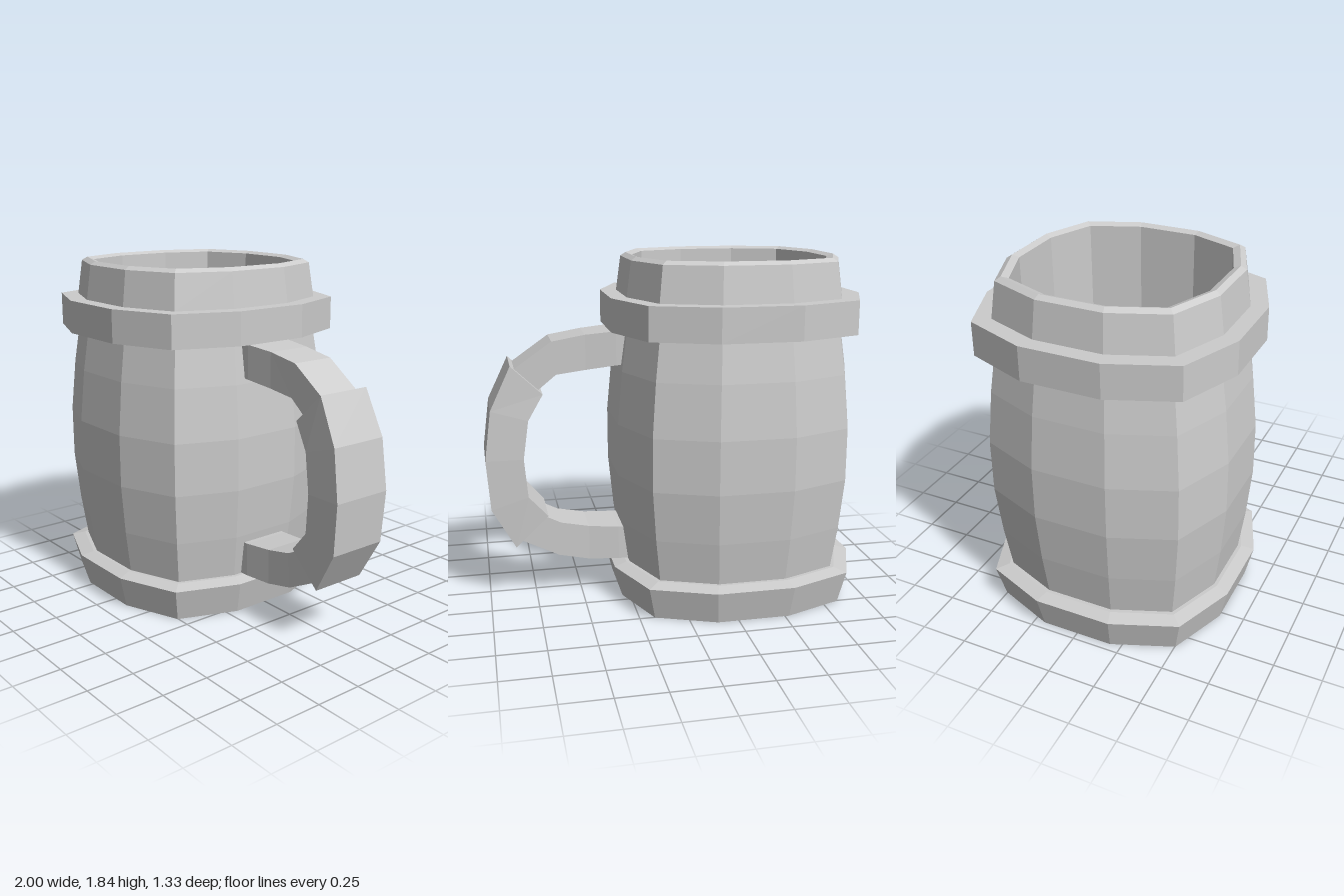
import * as THREE from 'three';

const CENTER_X = -0.333;
// One quarter of the squarish twelve-sided outline, as fractions of the half width
const QUARTER = [[1, 0.305], [0.805, 0.805], [0.31, 1]];

// Skins a list of equal-length rings; each ring runs anticlockwise seen from the far end
function loft(name, rings, capStart, capEnd) {
  const pos = [];
  const tri = (...pts) => pts.forEach((p) => pos.push(...p));
  const n = rings[0].length;
  for (let i = 0; i < rings.length - 1; i++) {
    for (let j = 0; j < n; j++) {
      const k = (j + 1) % n;
      const a = rings[i][j], b = rings[i][k], c = rings[i + 1][k], d = rings[i + 1][j];
      tri(a, b, c);
      tri(a, c, d);
    }
  }
  const first = rings[0], last = rings[rings.length - 1];
  for (let j = 1; j < n - 1; j++) {
    if (capStart) tri(first[0], first[j + 1], first[j]);
    if (capEnd) tri(last[0], last[j], last[j + 1]);
  }
  const geometry = new THREE.BufferGeometry();
  geometry.setAttribute('position', new THREE.Float32BufferAttribute(pos, 3));
  geometry.computeVertexNormals();
  const material = new THREE.MeshStandardMaterial({ color: 0xcccccc, flatShading: true });
  const mesh = new THREE.Mesh(geometry, material);
  mesh.name = name;
  return mesh;
}

// Twelve-sided ring of half width h at height y
function mugRing([h, y]) {
  const ring = [];
  for (let q = 0; q < 4; q++) {
    for (const [u, v] of QUARTER) {
      let x = u * h, z = -v * h;
      for (let t = 0; t < q; t++) [x, z] = [z, -x];
      ring.push([x + CENTER_X, y, z]);
    }
  }
  return ring;
}

// Rectangular handle section: outer edge, inner edge, half thickness
const handleRing = ([ox, oy, ix, iy, w]) => [[ox, oy, -w], [ox, oy, w], [ix, iy, w], [ix, iy, -w]];

export function createModel() {
  const group = new THREE.Group();
  group.name = 'mug';

  // Flared foot
  const base = [[0.625, 0], [0.667, 0.175], [0.6, 0.192], [0.55, 0.192]];
  group.add(loft('base', base.map(mugRing), true, false));

  // Bulging wall, rim, and hollow inside down to the floor
  const barrel = [
    [0.58, 0.18], [0.613, 0.42], [0.638, 0.69], [0.638, 0.97], [0.612, 1.25], [0.582, 1.46],
    [0.582, 1.635], [0.557, 1.82], [0.53, 1.838], [0.497, 1.825], [0.482, 0.24],
  ];
  group.add(loft('barrel', barrel.map(mugRing), false, true));

  // Band around the neck
  const band = [[0.56, 1.46], [0.667, 1.46], [0.667, 1.635], [0.56, 1.635]];
  group.add(loft('band', band.map(mugRing), false, false));

  // Handle: two slim arms and a thicker grip
  const handle = new THREE.Group();
  handle.name = 'handle';
  const upperArm = [
    [0.2, 1.46, 0.2, 1.28, 0.133], [0.3, 1.455, 0.3, 1.275, 0.133], [0.46, 1.44, 0.46, 1.255, 0.12],
    [0.635, 1.41, 0.615, 1.235, 0.118], [0.835, 1.27, 0.72, 1.15, 0.118],
  ];
  const grip = [
    [0.853, 1.295, 0.69, 1.14, 0.152], [0.963, 1.065, 0.77, 1.005, 0.162], [0.998, 0.8, 0.8, 0.8, 0.167],
    [0.978, 0.53, 0.782, 0.59, 0.162], [0.855, 0.31, 0.68, 0.475, 0.152],
  ];
  const lowerArm = [
    [0.835, 0.34, 0.72, 0.475, 0.118], [0.625, 0.235, 0.61, 0.42, 0.118],
    [0.46, 0.2, 0.46, 0.39, 0.12], [0.3, 0.195, 0.3, 0.378, 0.133], [0.2, 0.195, 0.2, 0.375, 0.133],
  ];
  handle.add(
    loft('upperArm', upperArm.map(handleRing), true, true),
    loft('grip', grip.map(handleRing), true, true),
    loft('lowerArm', lowerArm.map(handleRing), true, true),
  );
  group.add(handle);
  return group;
}
